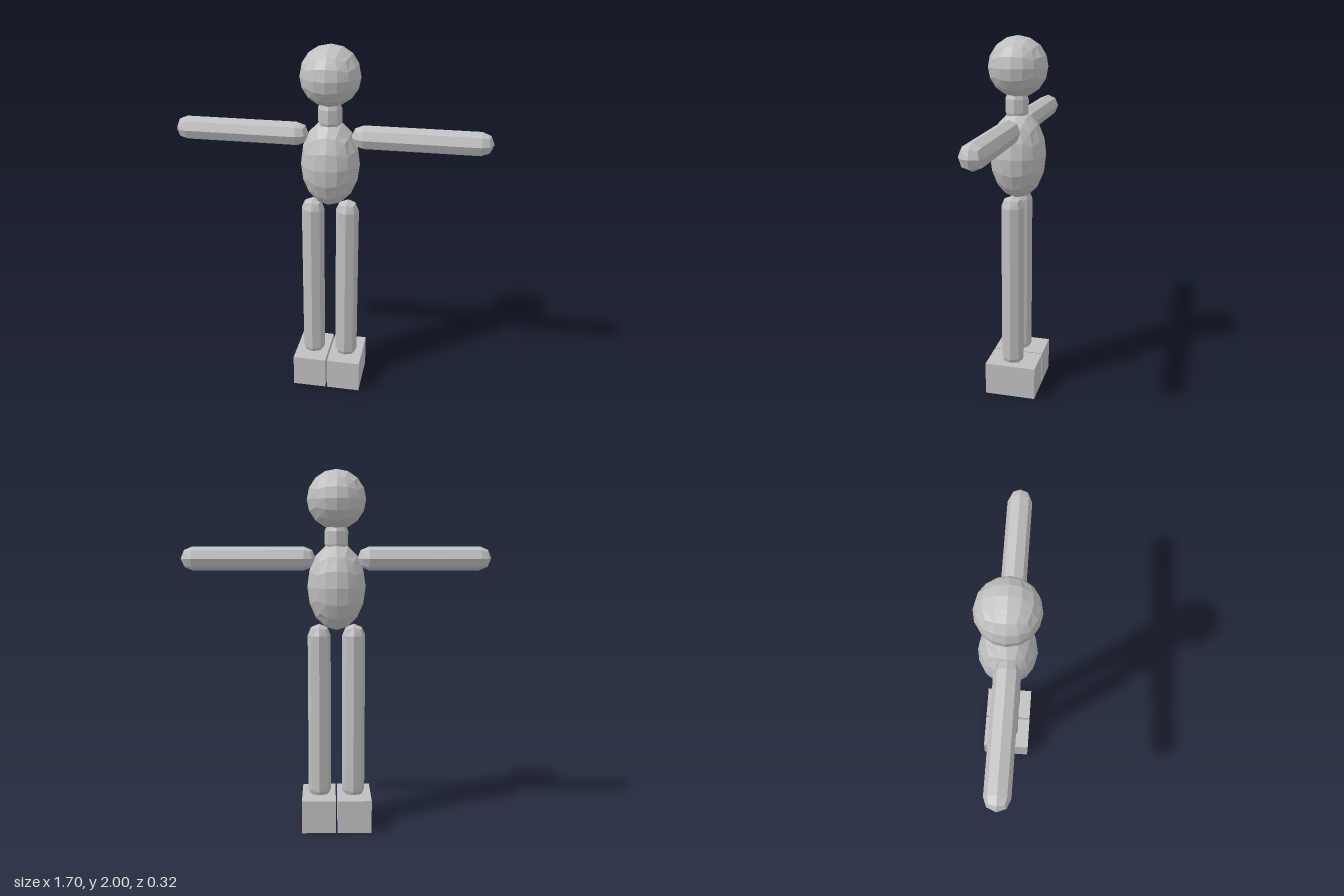
import * as THREE from 'three';

const gray = new THREE.MeshStandardMaterial({ color: 0xc0c0c0, flatShading: true });
gray.name = 'plain gray';

function faceted(geometry) {
  const flat = geometry.toNonIndexed();
  flat.computeVertexNormals();
  return flat;
}

// Unit ball made from a cube grid, with evenly spaced angles
function quadBall(segments) {
  const g = new THREE.BoxGeometry(2, 2, 2, segments, segments, segments);
  const p = g.attributes.position;
  const v = new THREE.Vector3();
  const even = (t) => Math.tan(t * Math.PI / 4);
  for (let i = 0; i < p.count; i++) {
    v.fromBufferAttribute(p, i);
    v.set(even(v.x), even(v.y), even(v.z)).normalize();
    p.setXYZ(i, v.x, v.y, v.z);
  }
  return g;
}

// Eight-sided rod along y with rounded ends made from halves of a cube ball
function roundedRod(radius, length) {
  const g = new THREE.BoxGeometry(2, 2, 2, 2, 3, 2);
  const p = g.attributes.position;
  const v = new THREE.Vector3();
  for (let i = 0; i < p.count; i++) {
    v.fromBufferAttribute(p, i);
    const end = Math.sign(v.y);
    if (Math.abs(v.y) < 0.9) v.y = 0;
    v.normalize().multiplyScalar(radius);
    p.setXYZ(i, v.x, v.y + end * (length / 2 - radius), v.z);
  }
  return faceted(g);
}

export function createModel() {
  const model = new THREE.Group();
  model.name = 'figure';

  function add(name, geometry, x, y, z) {
    const mesh = new THREE.Mesh(geometry, gray);
    mesh.name = name;
    mesh.position.set(x, y, z);
    model.add(mesh);
    return mesh;
  }

  // Head, neck and torso
  add('head', faceted(quadBall(4).scale(0.16, 0.16, 0.16)), 0, 1.84, 0);
  add('neck', roundedRod(0.064, 0.2), 0, 1.637, 0.007);
  add('torso', faceted(quadBall(4).scale(0.16, 0.24, 0.153)), 0, 1.37, 0);

  // Limbs and feet, mirrored
  for (const [side, s] of [['left', 1], ['right', -1]]) {
    const arm = add(side + 'Arm', roundedRod(0.065, 0.735), s * 0.481, 1.524, 0.007);
    arm.rotation.z = Math.PI / 2;
    add(side + 'Leg', roundedRod(0.064, 1.02), s * 0.096, 0.655, 0.007);
    add(side + 'Foot', new THREE.BoxGeometry(0.19, 0.187, 0.286), s * 0.1, 0.0935, 0);
  }
  return model;
}
